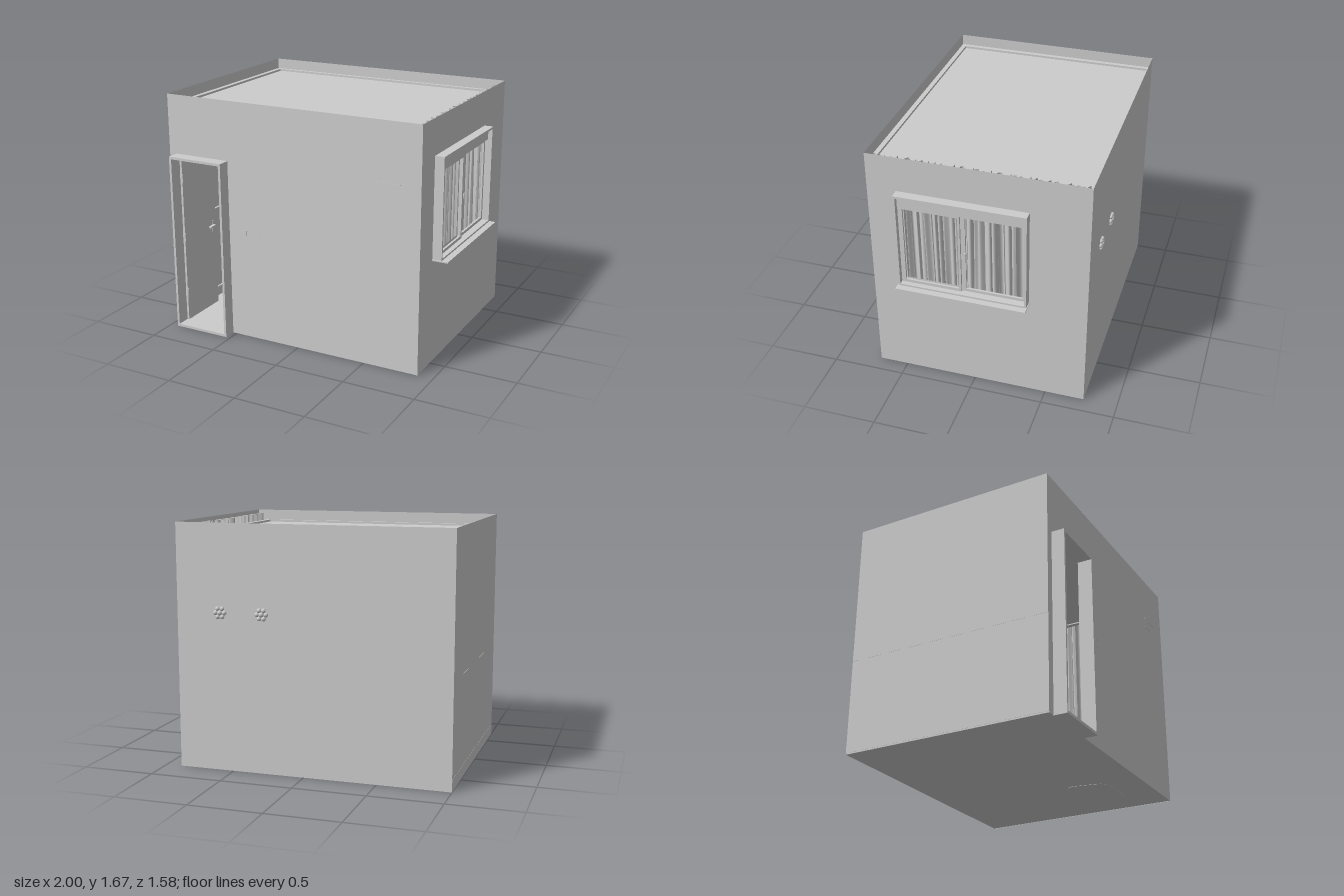
import * as THREE from 'three';

const grey = new THREE.MeshStandardMaterial({ color: 0xcccccc });
const thin = new THREE.MeshStandardMaterial({ color: 0xcccccc, side: THREE.DoubleSide });

function add(parent, name, geometry, material = grey) {
  const mesh = new THREE.Mesh(geometry, material);
  mesh.name = name;
  parent.add(mesh);
  return mesh;
}

// Box given by its extents on each axis
function box(parent, name, [x0, x1], [y0, y1], [z0, z1]) {
  const mesh = add(parent, name, new THREE.BoxGeometry(x1 - x0, y1 - y0, z1 - z0));
  mesh.position.set((x0 + x1) / 2, (y0 + y1) / 2, (z0 + z1) / 2);
  return mesh;
}

function ball(parent, name, r, x, y, z) {
  const mesh = add(parent, name, new THREE.SphereGeometry(r, 12, 8));
  mesh.position.set(x, y, z);
  return mesh;
}

function group(parent, name) {
  const g = new THREE.Group();
  g.name = name;
  parent.add(g);
  return g;
}

function rect(ShapeType, [a0, a1], [b0, b1]) {
  const s = new ShapeType();
  s.moveTo(a0, b0);
  s.lineTo(a1, b0);
  s.lineTo(a1, b1);
  s.lineTo(a0, b1);
  s.closePath();
  return s;
}

// Flat wall with optional rectangular openings
function wallGeometry(span, holes = []) {
  const shape = rect(THREE.Shape, span, [0, H]);
  holes.forEach(([a, b]) => shape.holes.push(rect(THREE.Path, a, b)));
  return new THREE.ShapeGeometry(shape);
}

const X0 = -1, X1 = 0.89, Z0 = -0.77, Z1 = 0.7, H = 1.675;
const PANES = [[[0.085, 0.455], [0.77, 1.32]], [[-0.345, 0.04], [0.77, 1.32]]];

function buildShell(room) {
  const shell = group(room, 'shell');
  add(shell, 'frontWall', wallGeometry([X0, X1], [[[-0.93, -0.545], [0.01, 1.245]]]), thin).position.z = Z1;
  add(shell, 'backWall', wallGeometry([X0, X1]), thin).position.z = Z0;
  add(shell, 'leftWall', wallGeometry([Z0, Z1], PANES).rotateY(-Math.PI / 2), thin).position.x = X1;
  add(shell, 'rightWall', wallGeometry([Z0, Z1]).rotateY(-Math.PI / 2), thin).position.x = X0;
  box(shell, 'floor', [X0, X1], [0.002, 0.01], [Z0, Z1]);

  // Dropped ceiling with a raised border, stopping short of the curtain slot
  const c0 = X0 + 0.002, c1 = 0.815;
  box(shell, 'ceilingPanel', [-0.99, 0.8], [1.57, 1.585], [-0.76, 0.69]);
  box(shell, 'ceilingBorder', [c0, -0.965], [1.56, 1.6], [Z0 + 0.002, Z1 - 0.002]);
  box(shell, 'ceilingBorder', [0.78, c1], [1.56, 1.6], [Z0 + 0.002, Z1 - 0.002]);
  box(shell, 'ceilingBorder', [-0.965, 0.78], [1.56, 1.6], [Z0 + 0.002, -0.74]);
  box(shell, 'ceilingBorder', [-0.965, 0.78], [1.56, 1.6], [0.665, Z1 - 0.002]);

  // Skirting and dado on the right wall
  box(shell, 'skirting', [X0 - 0.001, -0.985], [0.01, 0.08], [Z0, Z1]);
  box(shell, 'dadoRail', [X0 - 0.001, -0.985], [0.66, 0.71], [Z0, Z1]);
}

function buildDoor(room) {
  const door = group(room, 'door');
  const depth = [0.69, 0.79];
  box(door, 'doorJamb', [-0.945, -0.928], [0, 1.26], depth);
  box(door, 'doorJamb', [-0.547, -0.53], [0, 1.26], depth);
  box(door, 'doorHead', [-0.928, -0.547], [1.243, 1.26], depth);
  box(door, 'threshold', [-0.928, -0.547], [0, 0.018], depth);
  // Leaf swung fully into the room
  box(door, 'doorLeaf', [-0.93, -0.912], [0.02, 1.24], [0.32, 0.695]);
  for (const y of [0.2, 0.62, 1.05]) box(door, 'hinge', [-0.928, -0.907], [y, y + 0.06], [0.685, 0.697]);
  box(door, 'handlePlate', [-0.912, -0.908], [0.59, 0.67], [0.345, 0.365]);
  box(door, 'handleLever', [-0.908, -0.885], [0.63, 0.642], [0.35, 0.41]);
}

function buildWindow(room) {
  const win = group(room, 'window');
  const out = [0.89, 0.955];
  box(win, 'frameSide', out, [0.74, 1.43], [0.485, 0.5]);
  box(win, 'frameSide', out, [0.74, 1.43], [-0.38, -0.365]);
  box(win, 'frameTop', out, [1.415, 1.43], [-0.365, 0.485]);
  box(win, 'frameBottom', out, [0.738, 0.75], [-0.365, 0.485]);
  box(win, 'shutterBox', [0.89, 0.925], [1.34, 1.415], [-0.365, 0.485]);
  box(win, 'sill', [0.89, 1], [0.73, 0.738], [-0.385, 0.505]);
  // Sliding sashes, the front one on the nearer track
  [[0.07, 0.485, 0.905, 0.92], [-0.365, 0.07, 0.89, 0.905]].forEach(([z0, z1, x0, x1], i) => {
    const sash = rect(THREE.Shape, [z0, z1], [0.75, 1.34]);
    sash.holes.push(rect(THREE.Path, ...PANES[i]));
    const geo = new THREE.ExtrudeGeometry(sash, { depth: x1 - x0, bevelEnabled: false });
    add(win, 'sash', geo.rotateY(-Math.PI / 2)).position.x = x1;
  });
  box(win, 'sashLatch', [0.905, 0.917], [1.02, 1.055], [0.035, 0.045]);
}

// Curtain folds: a sheet swayed by overlapping waves, looser towards the hem
function buildCurtain(room, z0, z1, phase) {
  const geo = new THREE.PlaneGeometry(z1 - z0, 1.62, 360, 8).rotateY(Math.PI / 2);
  const p = geo.attributes.position;
  for (let i = 0; i < p.count; i++) {
    const y = p.getY(i), z = p.getZ(i);
    const drift = z + 0.012 * (0.8 - y) * Math.sin(9 * z + phase);
    const fold = 0.6 * Math.sin(120 * drift + 3 * Math.sin(17 * z + phase)) + 0.4 * Math.sin(205 * drift + phase);
    p.setX(i, 0.03 * fold);
    p.setZ(i, z + 0.009 * Math.sin(150 * drift + phase));
  }
  geo.computeVertexNormals();
  add(room, 'curtain', geo, thin).position.set(0.852, 0.84, (z0 + z1) / 2);
}

// Rosette of round petals showing through the back wall
function buildRosette(room, x) {
  const flower = group(room, 'wallRosette');
  ball(flower, 'rosetteCentre', 0.018, 0, 0, -0.003);
  for (let i = 0; i < 6; i++) {
    const a = i * Math.PI / 3;
    ball(flower, 'rosettePetal', 0.016, 0.031 * Math.cos(a), 0.031 * Math.sin(a), 0);
  }
  flower.position.set(x, 1.08, Z0 - 0.003);
}

function buildWardrobe(room) {
  const w = group(room, 'wardrobe');
  box(w, 'wardrobeBody', [-0.865, -0.335], [0.07, 1.19], [-0.75, -0.42]);
  for (const x of [-0.855, -0.365])
    for (const z of [-0.74, -0.45]) box(w, 'wardrobeFoot', [x, x + 0.02], [0.01, 0.07], [z, z + 0.02]);
  for (const side of [-1, 1]) {
    const a = -0.6 + side * 0.002, b = -0.6 + side * 0.262;
    box(w, 'wardrobeDoor', [Math.min(a, b), Math.max(a, b)], [0.37, 1.185], [-0.42, -0.405]);
    ball(w, 'doorKnob', 0.011, -0.6 + side * 0.016, 0.75, -0.395);
  }
  for (const y of [0.075, 0.222]) {
    box(w, 'drawerFront', [-0.862, -0.338], [y, y + 0.143], [-0.42, -0.405]);
    ball(w, 'drawerKnob', 0.011, -0.6, y + 0.07, -0.395);
  }
}

function buildRug(room) {
  const s = new THREE.Shape();
  s.moveTo(0.33, 0.17);
  s.lineTo(0.68, 0.17);
  s.quadraticCurveTo(0.75, 0.17, 0.74, 0.24);
  s.lineTo(0.71, 0.4);
  s.quadraticCurveTo(0.69, 0.46, 0.62, 0.46);
  s.lineTo(0.39, 0.46);
  s.quadraticCurveTo(0.32, 0.46, 0.3, 0.4);
  s.lineTo(0.27, 0.24);
  s.quadraticCurveTo(0.26, 0.17, 0.33, 0.17);
  const geo = new THREE.ExtrudeGeometry(s, { depth: 0.02, bevelEnabled: false });
  add(room, 'rug', geo.rotateX(Math.PI / 2)).position.y = 0.02;
}

export function createModel() {
  const room = new THREE.Group();
  room.name = 'room';
  buildShell(room);
  buildDoor(room);
  buildWindow(room);
  buildCurtain(room, -0.745, -0.03, 0.4);
  buildCurtain(room, -0.03, 0.68, 2.1);
  buildRosette(room, 0.285);
  buildRosette(room, 0.58);
  buildWardrobe(room);
  buildRug(room);

  // Fittings on the inside of the front wall, with edges just through it
  box(room, 'lightSwitch', [-0.435, -0.395], [0.715, 0.785], [0.685, 0.703]);
  for (const y of [0.725, 0.775]) box(room, 'socketEdge', [-0.32, -0.28], [y, y + 0.004], [0.685, 0.702]);
  for (const y of [1.27, 1.34]) box(room, 'shelfEdge', [0.57, 0.75], [y, y + 0.006], [0.66, 0.702]);
  return room;
}
